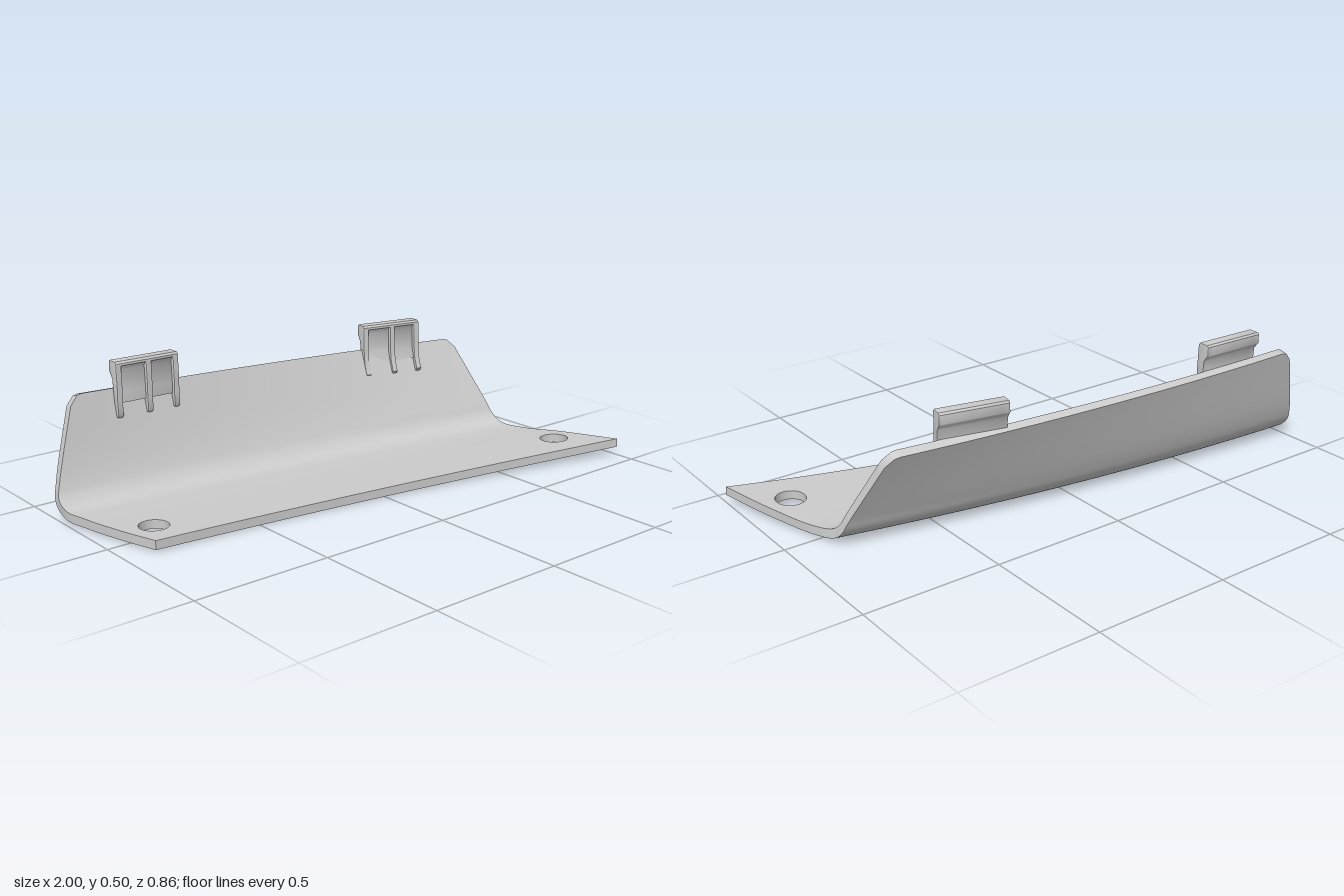
import * as THREE from 'three';
import { toCreasedNormals } from 'three/addons/utils/BufferGeometryUtils.js';

const NU = 96, NV = 48, THICK = 0.032;

// Inner-face cross-sections [x, y, z] from front lip to top edge: right end, middle, left end
const SECTIONS = [
  [[-0.89, 0.04, 0.115], [-0.93, 0.038, -0.03], [-0.97, 0.04, -0.19], [-0.995, 0.05, -0.275],
    [-1.0, 0.08, -0.312], [-0.98, 0.135, -0.337], [-0.88, 0.405, -0.4]],
  [[0.055, 0.038, 0.22], [0.02, 0.035, 0.05], [-0.03, 0.035, -0.1], [-0.065, 0.045, -0.195],
    [-0.075, 0.075, -0.235], [-0.075, 0.13, -0.265], [-0.065, 0.39, -0.36]],
  [[1.0, 0.065, 0.425], [0.94, 0.052, 0.2], [0.88, 0.042, 0.03], [0.85, 0.05, -0.045],
    [0.84, 0.077, -0.085], [0.825, 0.13, -0.115], [0.75, 0.376, -0.255]],
];

// Blends the three sections quadratically along the length
function sectionCurve(u) {
  const w = [(1 - u) * (1 - 2 * u), 4 * u * (1 - u), u * (2 * u - 1)];
  return new THREE.CatmullRomCurve3(SECTIONS[0].map((_, k) => {
    const p = new THREE.Vector3();
    SECTIONS.forEach((s, n) => p.addScaledVector(new THREE.Vector3(...s[k]), w[n]));
    return p;
  }));
}

// Grid of inner / outer point pairs
function makeNodes() {
  const nodes = [], e = 0.002, r = 0.035;
  for (let i = 0; i <= NU; i++) {
    const u = i / NU;
    const curve = sectionCurve(u), before = sectionCurve(u - e), after = sectionCurve(u + e);
    // rounded top corners
    const d = Math.min(u, 1 - u) * 1.65;
    const drop = d < r ? (r - Math.sqrt(r * r - (r - d) ** 2)) * 0.6 : 0;
    nodes.push([]);
    for (let j = 0; j <= NV; j++) {
      const v = j / NV - drop * THREE.MathUtils.smoothstep(j / NV, 0.84, 1);
      const top = curve.getPoint(v);
      const du = after.getPoint(v).sub(before.getPoint(v));
      const dv = curve.getPoint(Math.min(1, v + e)).sub(curve.getPoint(Math.max(0, v - e)));
      const n = du.cross(dv).normalize();
      nodes[i].push({ top, bottom: top.clone().addScaledVector(n, -THICK) });
    }
  }
  return nodes;
}

// Sheet with thickness and two round screw holes
function panelGeometry() {
  const nodes = makeNodes(), pos = [];
  const quad = (a, b, c, d) => [a, b, c, a, c, d].forEach((p) => pos.push(p.x, p.y, p.z));
  const patch = (a, b, c, d) => {
    quad(a.top, b.top, c.top, d.top);
    quad(d.bottom, c.bottom, b.bottom, a.bottom);
  };
  const edge = (a, b) => quad(a.top, a.bottom, b.bottom, b.top);
  const loop = (i0, i1, j0, j1) => {
    const out = [];
    for (let i = i0; i < i1; i++) out.push(nodes[i][j0]);
    for (let j = j0; j < j1; j++) out.push(nodes[i1][j]);
    for (let i = i1; i > i0; i--) out.push(nodes[i][j1]);
    for (let j = j1; j > j0; j--) out.push(nodes[i0][j]);
    return out;
  };

  // each hole replaces a block of cells by a ring of quads
  const blocks = [[-0.82, -0.008, 0.052], [0.85, 0.235, 0.054]].map(([x, z, r]) => {
    let best = Infinity, ci = 0, cj = 0;
    for (let i = 4; i <= NU - 4; i++) for (let j = 4; j <= 16; j++) {
      const p = nodes[i][j].top, d = Math.hypot(p.x - x, p.z - z);
      if (d < best) { best = d; ci = i; cj = j; }
    }
    const block = [ci - 4, ci + 4, cj - 4, cj + 4];
    const centre = new THREE.Vector3(x, nodes[ci][cj].top.y, z);
    const rim = loop(...block);
    const circle = rim.map(({ top }) => {
      const t = top.clone().sub(centre);
      const p = centre.clone().addScaledVector(t, r / Math.hypot(t.x, t.z));
      return { top: p, bottom: p.clone().setY(p.y - THICK) };
    });
    rim.forEach((p, k) => {
      const m = (k + 1) % rim.length;
      patch(p, rim[m], circle[m], circle[k]);
      edge(circle[m], circle[k]);
    });
    return block;
  });

  for (let i = 0; i < NU; i++) for (let j = 0; j < NV; j++) {
    if (blocks.some(([a, b, c, d]) => i >= a && i < b && j >= c && j < d)) continue;
    patch(nodes[i][j], nodes[i + 1][j], nodes[i + 1][j + 1], nodes[i][j + 1]);
  }
  const outline = loop(0, NU, 0, NV);
  outline.forEach((p, k) => edge(p, outline[(k + 1) % outline.length]));

  const g = new THREE.BufferGeometry();
  g.setAttribute('position', new THREE.Float32BufferAttribute(pos, 3));
  return toCreasedNormals(g, 0.6);
}

// Extrudes a [z, y] side profile along x, centred
function slab(profile, width) {
  const b = 0.004;
  const shape = new THREE.Shape(profile.map(([z, y]) => new THREE.Vector2(z, y)));
  const g = new THREE.ExtrudeGeometry(shape, {
    depth: width - 2 * b, bevelThickness: b, bevelSize: b, bevelOffset: -b, bevelSegments: 2,
  });
  g.translate(0, 0, b - width / 2).rotateY(-Math.PI / 2);
  return toCreasedNormals(g, 0.7);
}

// Hooked clip: recessed web with a lip, plus three ribs running down the wall
function makeClip(name, lean, material) {
  const clip = new THREE.Group();
  clip.name = name;
  const add = (part, geometry, x) => {
    const m = new THREE.Mesh(geometry, material);
    m.name = part;
    m.position.x = x;
    clip.add(m);
  };
  const foot = lean * 0.09;
  const hook = [[0.02, 0.1], [-0.018, 0.1], [-0.024, 0.093], [-0.024, 0.06], [-0.016, 0.05],
    [-0.005, 0.035], [-0.003, 0]];
  const web = [[lean * 0.05 - 0.01, -0.05], [lean * 0.05 + 0.004, -0.05], [0.016, -0.01],
    [0.013, 0.07], [0.018, 0.08], [0.027, 0.085], [0.027, 0.093], ...hook];
  const rib = [[foot - 0.012, -0.1], [foot + 0.003, -0.1], [foot + 0.01, -0.088],
    [Math.max(0.028, lean * 0.05 + 0.012), -0.045], [0.03, 0], [0.027, 0.093], ...hook];
  add('clipWeb', slab(web, 0.244), 0);
  for (const x of [-0.113, 0.005, 0.113]) add('clipRib', slab(rib, 0.022), x);
  return clip;
}

export function createModel() {
  const model = new THREE.Group();
  model.name = 'bracketPanel';
  const material = new THREE.MeshStandardMaterial({ color: 0xcccccc });

  const panel = new THREE.Mesh(panelGeometry(), material);
  panel.name = 'curvedPanel';
  model.add(panel);

  const rightClip = makeClip('rightClip', 0.23, material);
  rightClip.position.set(-0.605, 0.4, -0.387);
  rightClip.rotation.y = -0.03;
  const leftClip = makeClip('leftClip', 0.48, material);
  leftClip.position.set(0.457, 0.378, -0.303);
  leftClip.rotation.y = -0.2;
  model.add(rightClip, leftClip);
  return model;
}
